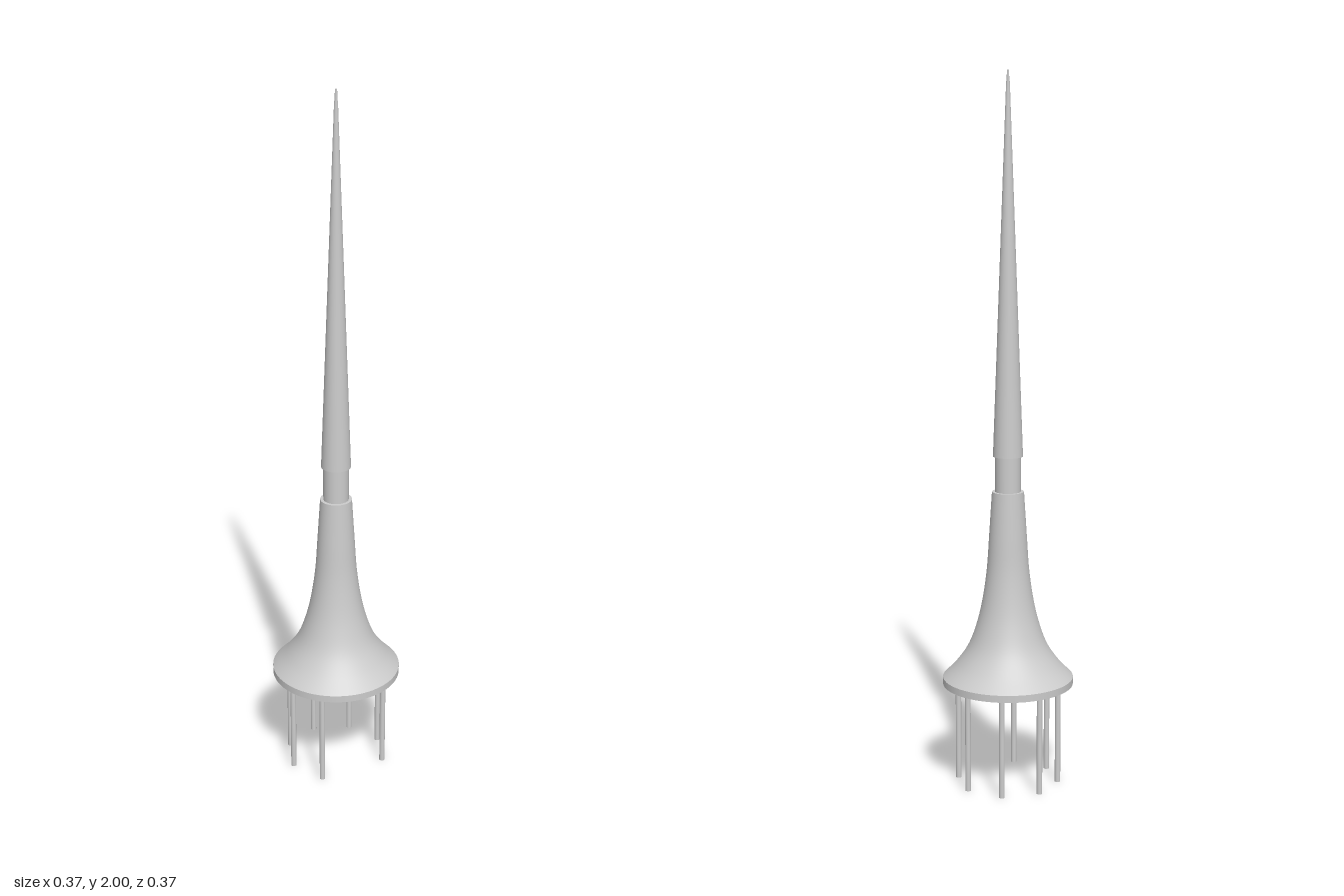
import * as THREE from 'three';

const SEGMENTS = 64;
const material = new THREE.MeshStandardMaterial({ color: 0xcccccc });

// Cylinder or cone placed by its bottom height
function column(name, rTop, rBottom, y0, y1, sides = SEGMENTS) {
  const mesh = new THREE.Mesh(new THREE.CylinderGeometry(rTop, rBottom, y1 - y0, sides), material);
  mesh.name = name;
  mesh.position.y = (y0 + y1) / 2;
  return mesh;
}

export function createModel() {
  const model = new THREE.Group();
  model.name = 'spire';

  // Flat base disc under the flare
  model.add(column('baseRim', 0.185, 0.185, 0.29, 0.31));

  // Flared skirt, a smooth concave curve up to the collar
  const curve = new THREE.SplineCurve([
    [0.185, 0.31], [0.147, 0.35], [0.113, 0.4], [0.09, 0.46],
    [0.073, 0.53], [0.06, 0.62], [0.053, 0.72], [0.045, 0.845],
  ].map(([r, y]) => new THREE.Vector2(r, y)));
  const skirt = new THREE.Mesh(new THREE.LatheGeometry(curve.getPoints(40), SEGMENTS), material);
  skirt.name = 'flaredSkirt';
  model.add(skirt);

  // Flat top closing the skirt around the neck
  const collar = new THREE.Mesh(new THREE.CircleGeometry(0.045, SEGMENTS), material);
  collar.name = 'skirtTop';
  collar.rotation.x = -Math.PI / 2;
  collar.position.y = 0.845;
  model.add(collar);

  // Narrow neck, tapering spire and thin needle
  model.add(column('neck', 0.036, 0.036, 0.84, 0.95));
  model.add(column('taperedSpire', 0.005, 0.042, 0.945, 1.97));
  model.add(column('needleTip', 0.003, 0.004, 1.96, 2, 16));

  // Seven rods on an eight-place ring, with one place left open at the front
  const legs = new THREE.Group();
  legs.name = 'legs';
  for (let i = 1; i < 8; i++) {
    const angle = Math.PI / 8 + (i * Math.PI) / 4;
    const leg = column('leg', 0.008, 0.008, 0, 0.295, 16);
    leg.position.x = 0.143 * Math.sin(angle);
    leg.position.z = 0.143 * Math.cos(angle);
    legs.add(leg);
  }
  model.add(legs);

  return model;
}
